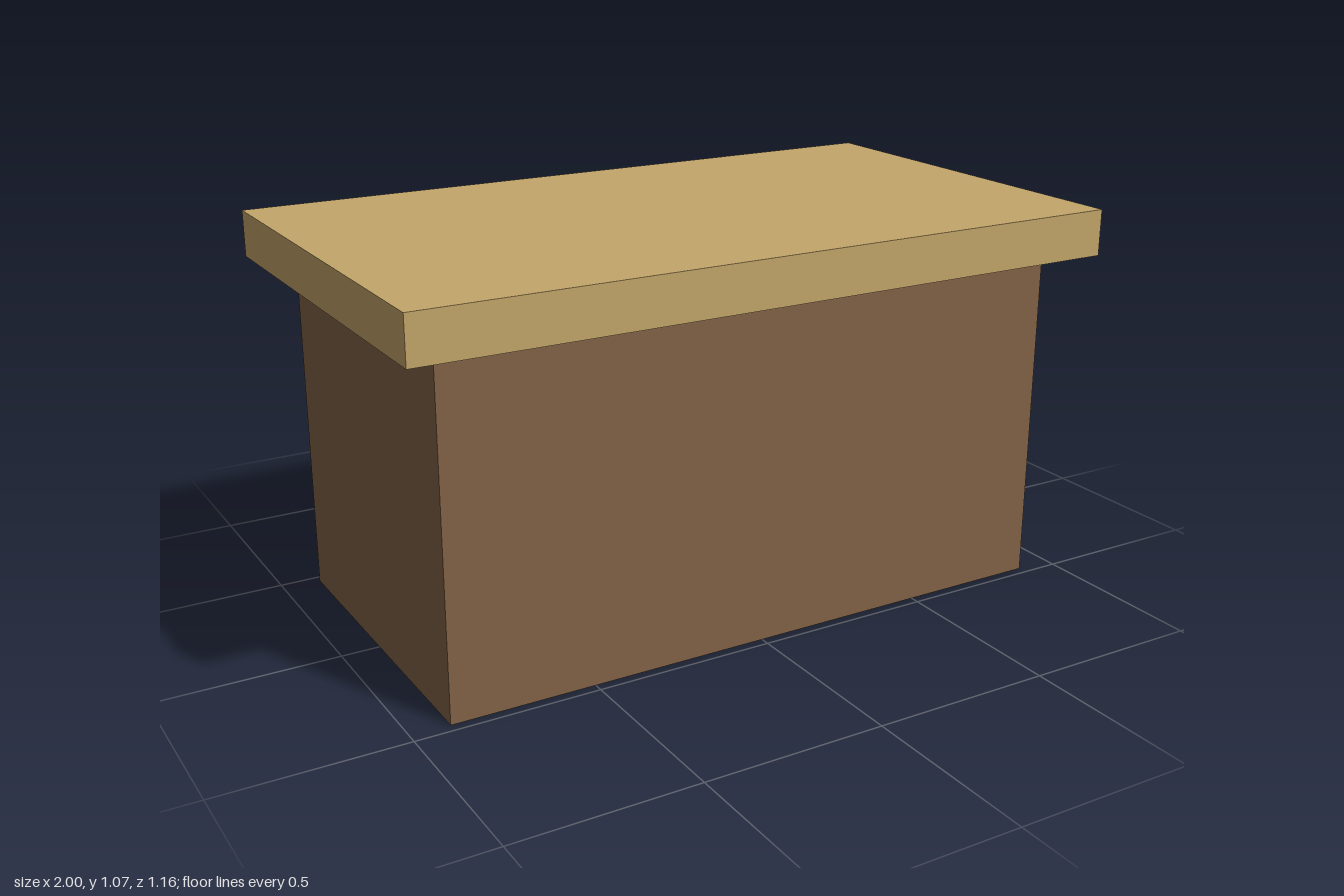
import * as THREE from 'three';

// Adds a named box resting at height y
function addBox(group, name, [w, h, d], y, color) {
  const mesh = new THREE.Mesh(
    new THREE.BoxGeometry(w, h, d),
    new THREE.MeshStandardMaterial({ color })
  );
  mesh.name = name;
  mesh.position.y = y + h / 2;
  group.add(mesh);
}

export function createModel() {
  const group = new THREE.Group();
  group.name = 'counter';

  const bodyHeight = 0.947;
  // Solid base
  addBox(group, 'body', [1.79, bodyHeight, 0.947], 0, 0x826346);
  // Overhanging slab
  addBox(group, 'countertop', [2, 0.127, 1.158], bodyHeight, 0xc4a66a);

  return group;
}
